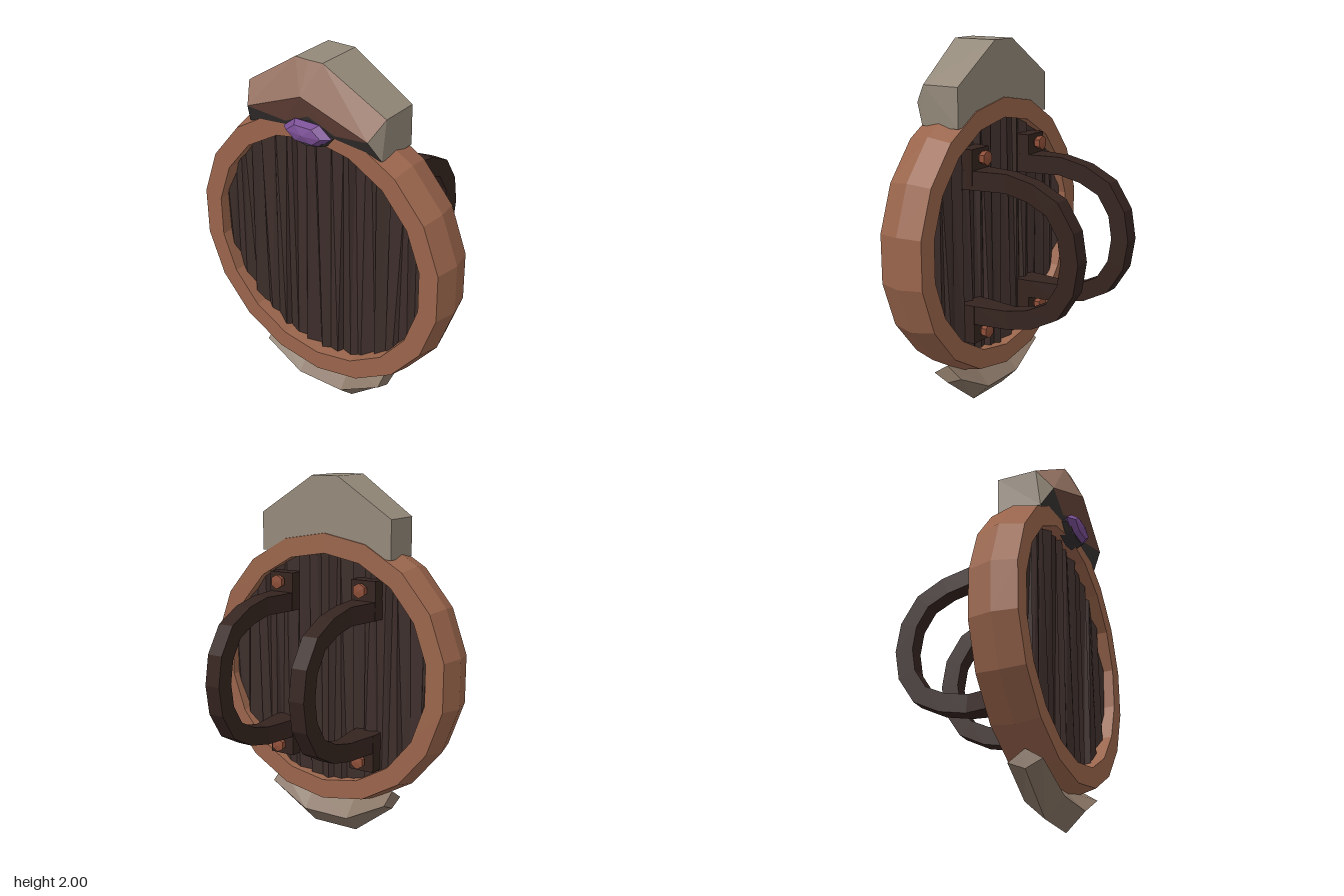
import * as THREE from 'three';

const CY = 0.95; // height of the shield centre

function mat(color) {
  return new THREE.MeshStandardMaterial({ color, flatShading: true });
}

function add(parent, name, geometry, color) {
  const mesh = new THREE.Mesh(geometry, mat(color));
  mesh.name = name;
  parent.add(mesh);
  return mesh;
}

// Flat polygons (counter-clockwise lists of points) turned into triangles
function polygons(list) {
  const out = [];
  for (const p of list) {
    for (let i = 1; i < p.length - 1; i++) out.push(...p[0], ...p[i], ...p[i + 1]);
  }
  const g = new THREE.BufferGeometry();
  g.setAttribute('position', new THREE.Float32BufferAttribute(out, 3));
  g.computeVertexNormals();
  return g;
}

// Skin over closed cross-sections, with both ends capped
function loft(sections) {
  const faces = [[...sections[0]].reverse(), sections[sections.length - 1]];
  for (let s = 0; s < sections.length - 1; s++) {
    const a = sections[s], b = sections[s + 1];
    a.forEach((p, i) => {
      const j = (i + 1) % a.length;
      faces.push([p, a[j], b[j], b[i]]);
    });
  }
  return polygons(faces);
}

// Round rim with a bevelled outer edge
function rim() {
  const profile = [[0.64, 0.15], [0.747, 0.15], [0.777, 0.28], [0.747, 0.405], [0.64, 0.405], [0.64, 0.15]];
  return new THREE.LatheGeometry(profile.map(p => new THREE.Vector2(...p)), 18)
    .rotateX(Math.PI / 2).translate(0, CY, 0);
}

// Corrugated wooden panel, its ridges slanting a little, clipped to a circle
function panel(zBase, dir) {
  const R = 0.66, N = 30, faces = [];
  const column = i => {
    const edge = i === 0 || i === N;
    const x = -R + (2 * R * i) / N;
    const end = sign => {
      const sx = edge ? x : x + 0.016 * Math.sin(i * 2.4 + sign);
      const y = Math.sqrt(Math.max(0, R * R - sx * sx));
      const z = zBase + dir * ((i % 2 ? 0.012 : -0.012) + 0.006 * Math.sin(i * 1.7 + sign));
      return [sx, CY + sign * y, z];
    };
    return [end(-1), end(1)];
  };
  for (let i = 0; i < N; i++) {
    const [a, b] = column(i), [c, d] = column(i + 1);
    faces.push(dir > 0 ? [a, c, d, b] : [a, b, d, c]);
  }
  return polygons(faces);
}

// Crown block: one half listed, the other mirrored
const CROWN = [
  [0.08, 2, 0.155], [0.08, 2, 0.41], [0.41, 1.79, 0.155], [0.41, 1.79, 0.37],
  [0.41, 1.58, 0.155], [0.40, 1.58, 0.39], [0.36, 1.69, 0.45], [0, 1.84, 0.485],
  [0, 2, 0.415], [0, 1.72, 0.43], [0.15, 1.655, 0.42], [0, 1.62, 0.39],
  [0, 1.62, 0.155], [0, 2, 0.155],
];

function crownPart(faces) {
  const half = faces.map(f => f.map(i => CROWN[i]));
  const mirrored = half.map(f => f.map(([x, y, z]) => [-x, y, z]).reverse());
  return polygons([...half, ...mirrored]);
}

// Curved strap handle that widens towards its fixings
function strap(x) {
  const top = [[0.2, 1.31, 0.078], [0.12, 1.31, 0.072], [-0.06, 1.31, 0.045], [-0.2, 1.28, 0.045],
    [-0.33, 1.215, 0.045], [-0.41, 1.09, 0.045], [-0.433, 0.9475, 0.045]];
  const path = [...top, ...top.slice(0, -1).reverse().map(([z, y, w]) => [z, 1.895 - y, w])];
  return loft(path.map(([z, y, w], i) => {
    const p = path[Math.max(0, i - 1)], q = path[Math.min(path.length - 1, i + 1)];
    const len = Math.hypot(q[0] - p[0], q[1] - p[1]);
    const ny = (0.05 * (q[0] - p[0])) / len, nz = (-0.05 * (q[1] - p[1])) / len;
    return [[1, 1], [-1, 1], [-1, -1], [1, -1]].map(([a, b]) => [x + a * w, y + b * ny, z + b * nz]);
  }));
}

// Hexagonal rivet pointing backwards
function rivet() {
  const profile = [[0.02, -0.05], [0.022, 0.02], [0.034, 0.025], [0.04, 0.06], [0, 0.065]];
  return new THREE.LatheGeometry(profile.map(p => new THREE.Vector2(...p)), 6).rotateX(-Math.PI / 2);
}

export function createModel() {
  const model = new THREE.Group();
  model.name = 'shield';

  add(model, 'rim', rim(), 0x9a654c);
  const wood = new THREE.Group();
  wood.name = 'woodPanel';
  model.add(wood);
  add(wood, 'panelFront', panel(0.34, 1), 0x3d2e2b);
  add(wood, 'panelBack', panel(0.2, -1), 0x3d2e2b);

  // Crown block on top
  const crown = new THREE.Group();
  crown.name = 'crown';
  model.add(crown);
  add(crown, 'crownCap', crownPart([[13, 8, 1, 0], [0, 1, 3, 2], [3, 5, 4, 2], [13, 0, 2, 4, 12], [5, 11, 12, 4], [6, 5, 3]]), 0x94897a);
  add(crown, 'crownFace', crownPart([[8, 7, 1], [1, 7, 6], [1, 6, 3]]), 0x9a7767);
  add(crown, 'crownBrow', crownPart([[7, 9, 10], [7, 10, 6]]), 0x6b473c);
  add(crown, 'crownUnderside', crownPart([[6, 10, 5], [10, 9, 11], [10, 11, 5]]), 0x3a3534);

  // Gem in its dark socket
  const socket = add(model, 'gemSocket', new THREE.CylinderGeometry(0.115, 0.15, 0.07, 8).rotateX(Math.PI / 2), 0x353031);
  socket.scale.y = 0.5;
  socket.position.set(0, 1.63, 0.41);
  const gem = add(model, 'gem', new THREE.SphereGeometry(1, 6, 4).rotateX(Math.PI / 2), 0x7a4f94);
  gem.scale.set(0.145, 0.065, 0.05);
  gem.position.set(0, 1.64, 0.437);

  // Pointed foot under the rim, lofted from diamonds
  const diamond = (x, bottom, mid, top, w) => [[x, mid, 0.28 - w], [x, top, 0.28], [x, mid, 0.28 + w], [x, bottom, 0.28]];
  add(model, 'foot', loft([
    diamond(-0.375, 0.18, 0.22, 0.28, 0.09), diamond(-0.14, 0, 0.1, 0.22, 0.105),
    diamond(0.14, 0, 0.1, 0.22, 0.105), diamond(0.375, 0.18, 0.22, 0.28, 0.09),
  ]), 0x8a7767);

  // Two strap handles on the back, each with two riveted plates
  for (const side of [-1, 1]) {
    const x = side * 0.265;
    const handle = new THREE.Group();
    handle.name = side > 0 ? 'leftHandle' : 'rightHandle';
    model.add(handle);
    add(handle, 'strap', strap(x), 0x35241f);
    for (const [plateY, rivetY] of [[1.365, 1.42], [0.53, 0.485]]) {
      add(handle, 'plate', new THREE.BoxGeometry(0.15, 0.21, 0.085), 0x35241f).position.set(x, plateY, 0.167);
      add(handle, 'rivet', rivet(), 0x8f4f39).position.set(x, rivetY, 0.138);
    }
  }
  return model;
}
